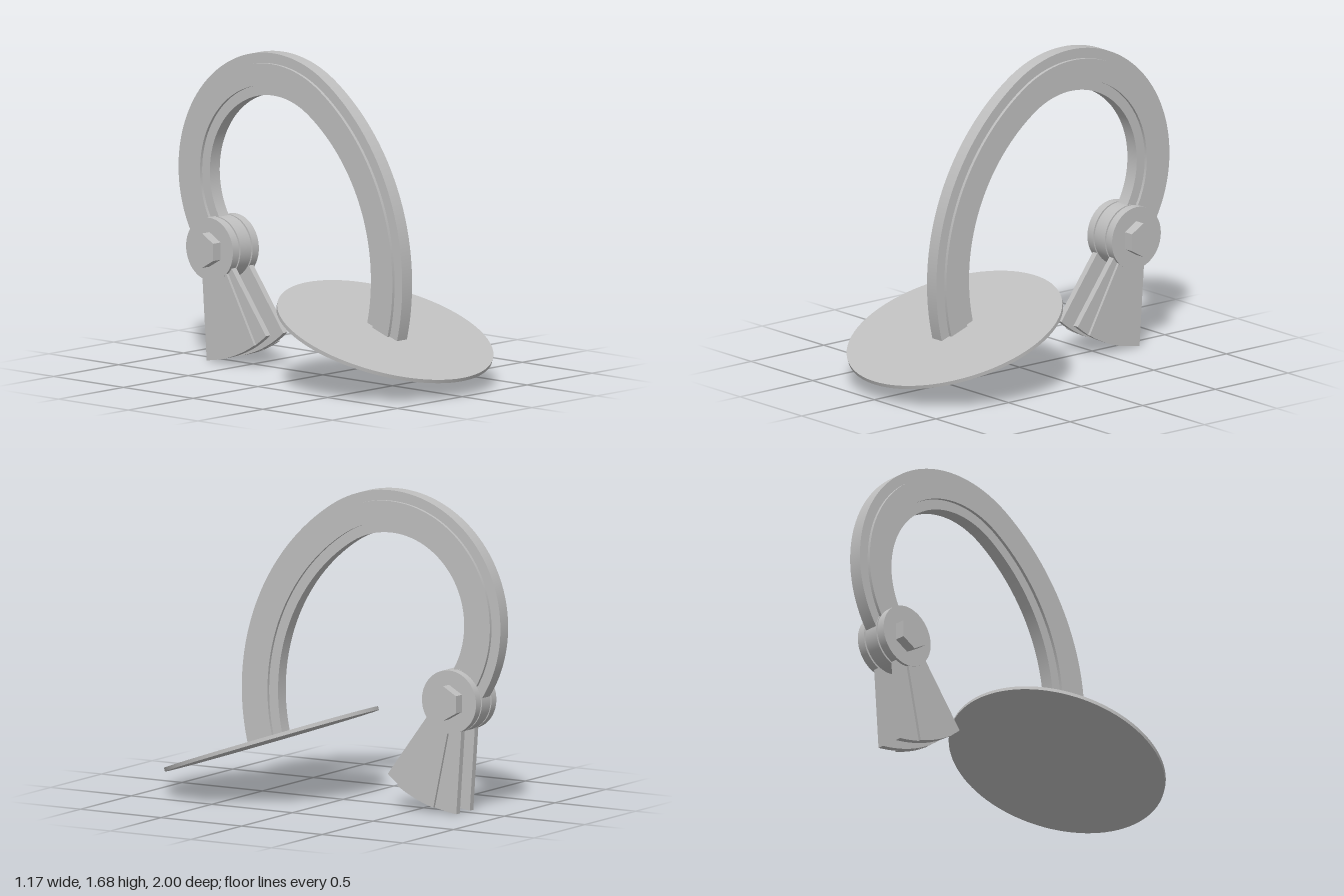
import * as THREE from 'three';
import { toCreasedNormals } from 'three/addons/utils/BufferGeometryUtils.js';

const rad = THREE.MathUtils.degToRad;

export function createModel() {
  const model = new THREE.Group();
  model.name = 'hookArmWithDisc';
  const grey = new THREE.MeshStandardMaterial({ color: 0xbfbfbf });
  grey.name = 'plain grey';

  const add = (name, geometry) => {
    const mesh = new THREE.Mesh(geometry, grey);
    mesh.name = name;
    model.add(mesh);
    return mesh;
  };

  // Extrudes a (z, y) profile sideways between two x positions
  const slab = (shape, x0, x1) => {
    const g = new THREE.ExtrudeGeometry(shape, { depth: x1 - x0, bevelEnabled: false, curveSegments: 48 });
    g.rotateY(-Math.PI / 2);
    g.translate(x1, 0, 0);
    return toCreasedNormals(g, 0.4);
  };

  // Curved arm: a tight arc flowing into a wider one, between two radii
  const tight = [-0.32, 1.0], wide = [-0.611, 0.55], extra = 0.536;
  const foot = rad(-14.3), join = rad(57.1), tip = rad(225);
  const armShape = (inner, outer) => {
    const s = new THREE.Shape();
    s.absarc(...wide, outer + extra, foot, join, false);
    s.absarc(...tight, outer, join, tip, false);
    s.absarc(...tight, inner, tip, join, true);
    s.absarc(...wide, inner + extra, join, foot, true);
    return s;
  };
  add('arm', slab(armShape(0.455, 0.68), -0.038, 0.038));
  add('armSideBand', slab(armShape(0.51, 0.625), -0.055, 0.055));

  // Tilted base disc
  const disc = add('baseDisc', new THREE.CylinderGeometry(0.585, 0.585, 0.02, 96));
  disc.position.set(0, 0.282, 0.445);
  disc.rotation.x = rad(19.1);

  // Hinge: knuckle, pin and outer cheeks with hexagonal bolt heads
  const hingeZ = -0.72, hingeY = 0.597;
  const barrel = (name, radius, x0, x1, sides = 64) => {
    const g = new THREE.CylinderGeometry(radius, radius, x1 - x0, sides);
    if (sides === 6) g.rotateY(rad(30));
    g.rotateZ(Math.PI / 2);
    g.translate((x0 + x1) / 2, hingeY, hingeZ);
    add(name, toCreasedNormals(g, 0.4));
  };
  barrel('hingeKnuckle', 0.168, -0.042, 0.042);
  barrel('hingePin', 0.12, -0.06, 0.06);

  // Fan-shaped fin and its raised middle panel
  const fin = new THREE.Shape();
  fin.moveTo(-0.79, 0.5);
  fin.lineTo(-0.755, 0.0);
  fin.quadraticCurveTo(-0.5, 0.03, -0.33, 0.178);
  fin.lineTo(-0.6, 0.54);
  const panel = new THREE.Shape();
  panel.moveTo(-0.718, 0.47);
  panel.lineTo(-0.622, 0.025);
  panel.quadraticCurveTo(-0.5, 0.058, -0.4, 0.122);
  panel.lineTo(-0.62, 0.515);

  for (const side of [1, -1]) {
    const label = side > 0 ? 'left' : 'right';
    const span = (a, b) => (side > 0 ? [a, b] : [-b, -a]);
    barrel(label + 'HingeCheek', 0.168, ...span(0.052, 0.1));
    barrel(label + 'BoltHead', 0.092, ...span(0.095, 0.158), 6);
    add(label + 'Fin', slab(fin, ...span(0.049, 0.084)));
    add(label + 'FinPanel', slab(panel, ...span(0.08, 0.099)));
  }
  return model;
}
